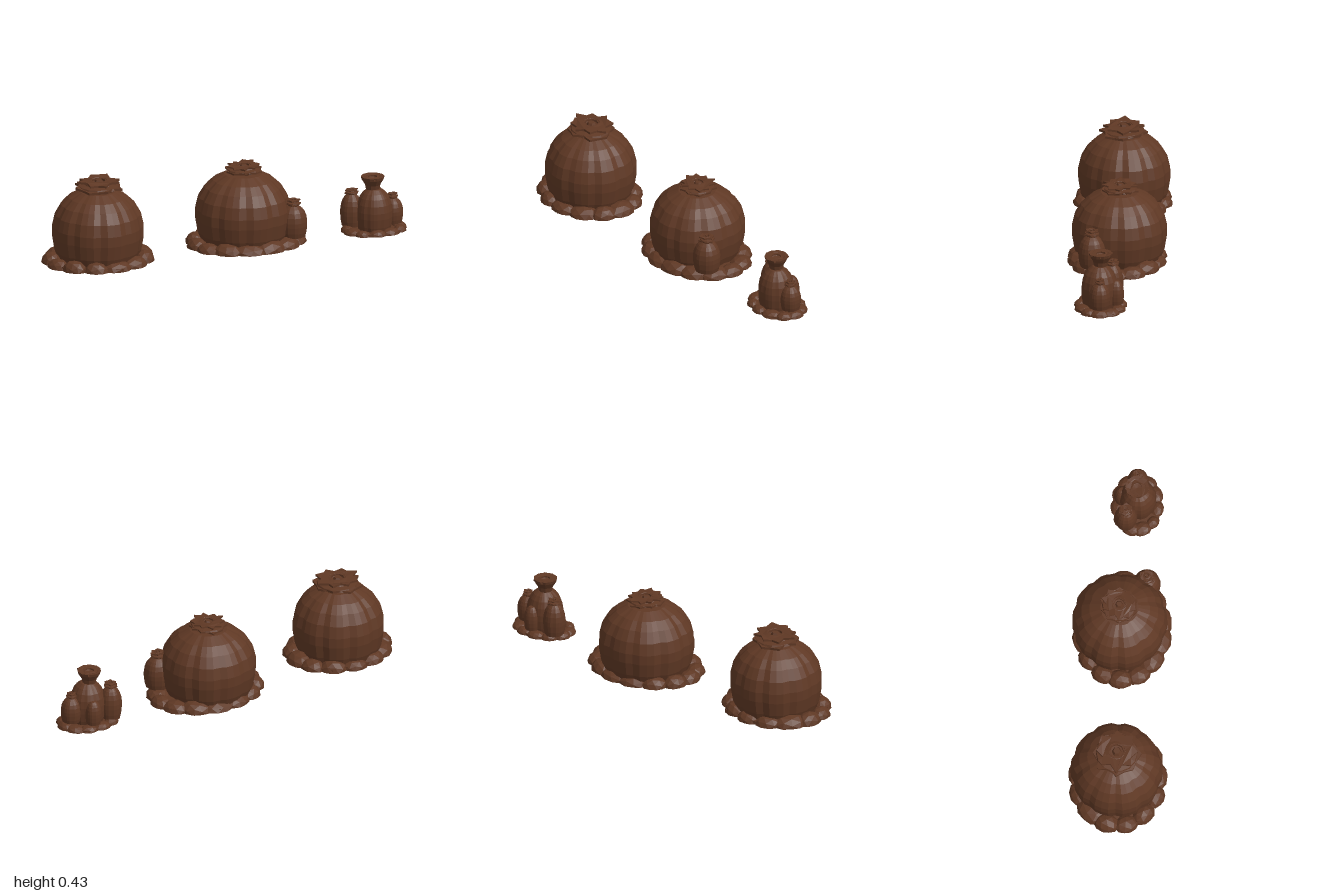
import * as THREE from 'three';

const bark = new THREE.MeshStandardMaterial({ color: 0x5f3824, flatShading: true, side: THREE.DoubleSide });
bark.name = 'dark brown';

// Repeatable value in -1..1 for an index and a seed
const jitter = (i, seed) => {
  const s = Math.sin(i * 127.1 + seed * 311.7) * 43758.5453;
  return 2 * (s - Math.floor(s)) - 1;
};

function addMesh(group, name, geometry, x = 0, y = 0, z = 0) {
  const mesh = new THREE.Mesh(geometry, bark);
  mesh.name = name;
  mesh.position.set(x, y, z);
  group.add(mesh);
  return mesh;
}

// Swollen body: a lathe with narrow creases pressed in between broad ribs
const BODY = [[0.86, 0.02], [0.95, 0.17], [1, 0.36], [1, 0.5], [0.94, 0.66], [0.81, 0.8], [0.64, 0.9], [0.4, 0.98], [0, 1]];

function bodyGeometry(radius, height, ribs, seed) {
  const points = BODY.map(([r, y]) => new THREE.Vector2(r * radius, y * height));
  const geometry = new THREE.LatheGeometry(points, ribs * 4);
  const p = geometry.attributes.position;
  for (let i = 0; i < p.count; i++) {
    const a = Math.atan2(p.getZ(i), p.getX(i));
    const step = Math.round((a / (Math.PI * 2)) * ribs * 4 + ribs * 4) % (ribs * 4);
    const rib = Math.floor(step / 4);
    const k = step % 4 === 0 ? 0.965 : 1 + 0.012 * jitter(rib, seed);
    p.setX(i, p.getX(i) * k);
    p.setZ(i, p.getZ(i) * k);
  }
  geometry.computeVertexNormals();
  return geometry;
}

// Jagged ring with a hole, lying flat
function starRing(outer, inner, hole, points, depth, seed) {
  const shape = new THREE.Shape();
  for (let i = 0; i < points * 2; i++) {
    const a = (i / (points * 2)) * Math.PI * 2;
    const r = (i % 2 ? inner : outer) * (1 + 0.07 * jitter(i, seed));
    if (i) shape.lineTo(Math.cos(a) * r, Math.sin(a) * r);
    else shape.moveTo(Math.cos(a) * r, Math.sin(a) * r);
  }
  shape.closePath();
  const cut = new THREE.Path();
  cut.absarc(0, 0, hole, 0, Math.PI * 2, true);
  shape.holes.push(cut);
  const geometry = new THREE.ExtrudeGeometry(shape, { depth, bevelEnabled: false, curveSegments: 4 });
  geometry.rotateX(-Math.PI / 2);
  // Ruffle the rim up and down
  const p = geometry.attributes.position;
  for (let i = 0; i < p.count; i++) {
    const r = Math.hypot(p.getX(i), p.getZ(i));
    const a = Math.atan2(p.getZ(i), p.getX(i));
    if (r > hole * 1.3) p.setY(i, p.getY(i) + 0.05 * outer * Math.sin(a * 3 + seed));
  }
  geometry.computeVertexNormals();
  return geometry;
}

// Crown: ragged collar, upper star and a sunken centre
function addCrown(group, radius, height, y, x, z, points, seed) {
  const crown = new THREE.Group();
  crown.name = 'crown';
  crown.position.set(x, y, z);
  const neck = [[0.55, -0.15], [0.75, 0.1], [1, 0.3], [0.95, 0.5], [0.68, 0.6], [0.6, 0.85], [0.4, 0.95], [0.3, 0.7], [0, 0.65]];
  addMesh(crown, 'collar', new THREE.LatheGeometry(
    neck.map(([r, h]) => new THREE.Vector2(r * radius * 0.92, h * height)), 14));
  addMesh(crown, 'lowerPetals', starRing(radius * 1.05, radius * 0.88, radius * 0.5, points, height * 0.2, seed), 0, height * 0.22, 0);
  addMesh(crown, 'upperPetals', starRing(radius * 0.95, radius * 0.7, radius * 0.3, points, height * 0.18, seed + 1), 0, height * 0.74, 0);
  addMesh(crown, 'crownCentre', new THREE.CylinderGeometry(radius * 0.15, radius * 0.22, height * 0.3, 6), 0, height * 0.83, 0);
  group.add(crown);
}

// Foot: flat plate with a lobed rim, ringed by squashed lumps
function addFoot(group, x, z, rx, rz, lumps, lumpSize, lumpHeight, seed) {
  const foot = new THREE.Group();
  foot.name = 'foot';
  foot.position.set(x, 0.006, z);
  const shape = new THREE.Shape();
  const n = lumps * 4;
  for (let i = 0; i < n; i++) {
    const a = (i / n) * Math.PI * 2;
    const k = 0.93 + 0.04 * Math.cos(a * lumps) + 0.025 * jitter(i, seed);
    const px = Math.cos(a) * rx * k, py = -Math.sin(a) * rz * k;
    if (i) shape.lineTo(px, py);
    else shape.moveTo(px, py);
  }
  shape.closePath();
  const plate = new THREE.ExtrudeGeometry(shape, { depth: lumpHeight * 0.35, bevelEnabled: false });
  plate.rotateX(-Math.PI / 2);
  addMesh(foot, 'footPlate', plate);

  for (let i = 0; i < lumps; i++) {
    const a = (i / lumps) * Math.PI * 2;
    const size = lumpSize * (1 + 0.22 * jitter(i, seed + 2));
    const geometry = new THREE.IcosahedronGeometry(1, 1);
    geometry.rotateY(i * 1.7);
    geometry.scale(size, lumpHeight * (0.92 + 0.12 * jitter(i, seed + 3)), size * 1.3);
    geometry.rotateY(-a);
    const p = geometry.attributes.position;
    for (let v = 0; v < p.count; v++) p.setY(v, Math.max(0, p.getY(v)));
    geometry.computeVertexNormals();
    addMesh(foot, 'footLump', geometry, Math.cos(a) * (rx - size), 0, Math.sin(a) * (rz - size));
  }
  group.add(foot);
}

function addBud(group, x, y, z, radius, height, seed, capRadius, capHeight) {
  const bud = new THREE.Group();
  bud.name = 'bud';
  bud.position.set(x, y, z);
  addMesh(bud, 'budBody', bodyGeometry(radius, height, 6, seed));
  if (capRadius) addCrown(bud, capRadius, capHeight, height - 0.004, 0, 0, 6, seed);
  group.add(bud);
}

export function createModel() {
  const model = new THREE.Group();
  model.name = 'moundCluster';

  // Tall mound with a star crown
  const tall = new THREE.Group();
  tall.name = 'tallMound';
  addMesh(tall, 'body', bodyGeometry(0.236, 0.385, 10, 1), -0.7, 0, -0.005);
  addCrown(tall, 0.12, 0.06, 0.378, -0.695, -0.005, 8, 4);
  addFoot(tall, -0.7, 0, 0.3, 0.26, 13, 0.062, 0.055, 3);
  model.add(tall);

  // Wide mound with one side bud
  const wide = new THREE.Group();
  wide.name = 'wideMound';
  addMesh(wide, 'body', bodyGeometry(0.246, 0.382, 10, 7), 0.115, 0, -0.018);
  addCrown(wide, 0.097, 0.044, 0.378, 0.118, -0.02, 10, 9);
  addFoot(wide, 0.125, -0.005, 0.325, 0.262, 14, 0.064, 0.056, 8);
  addBud(wide, 0.34, 0.045, 0.115, 0.072, 0.17, 5, 0.04, 0.035);
  model.add(wide);

  // Small mound with buds around it
  const small = new THREE.Group();
  small.name = 'smallMound';
  addMesh(small, 'body', bodyGeometry(0.095, 0.235, 8, 11), 0.815, 0, 0.055);
  const cup = [[0, 0], [0.035, 0], [0.04, 0.025], [0.058, 0.055], [0.062, 0.07], [0.045, 0.068], [0.025, 0.055], [0, 0.052]];
  addMesh(small, 'flaredCup', new THREE.LatheGeometry(cup.map(([r, y]) => new THREE.Vector2(r, y)), 10), 0.808, 0.228, 0.05);
  addMesh(small, 'cupPetals', starRing(0.063, 0.05, 0.025, 7, 0.008, 12), 0.808, 0.288, 0.05);
  addFoot(small, 0.815, 0.05, 0.178, 0.14, 11, 0.036, 0.034, 13);
  addBud(small, 0.712, 0.025, -0.005, 0.058, 0.175, 14, 0.036, 0.028);
  addBud(small, 0.918, 0.035, 0.05, 0.055, 0.135, 15, 0.028, 0.03);
  addBud(small, 0.835, 0.03, -0.03, 0.042, 0.13, 16);
  model.add(small);

  return model;
}
